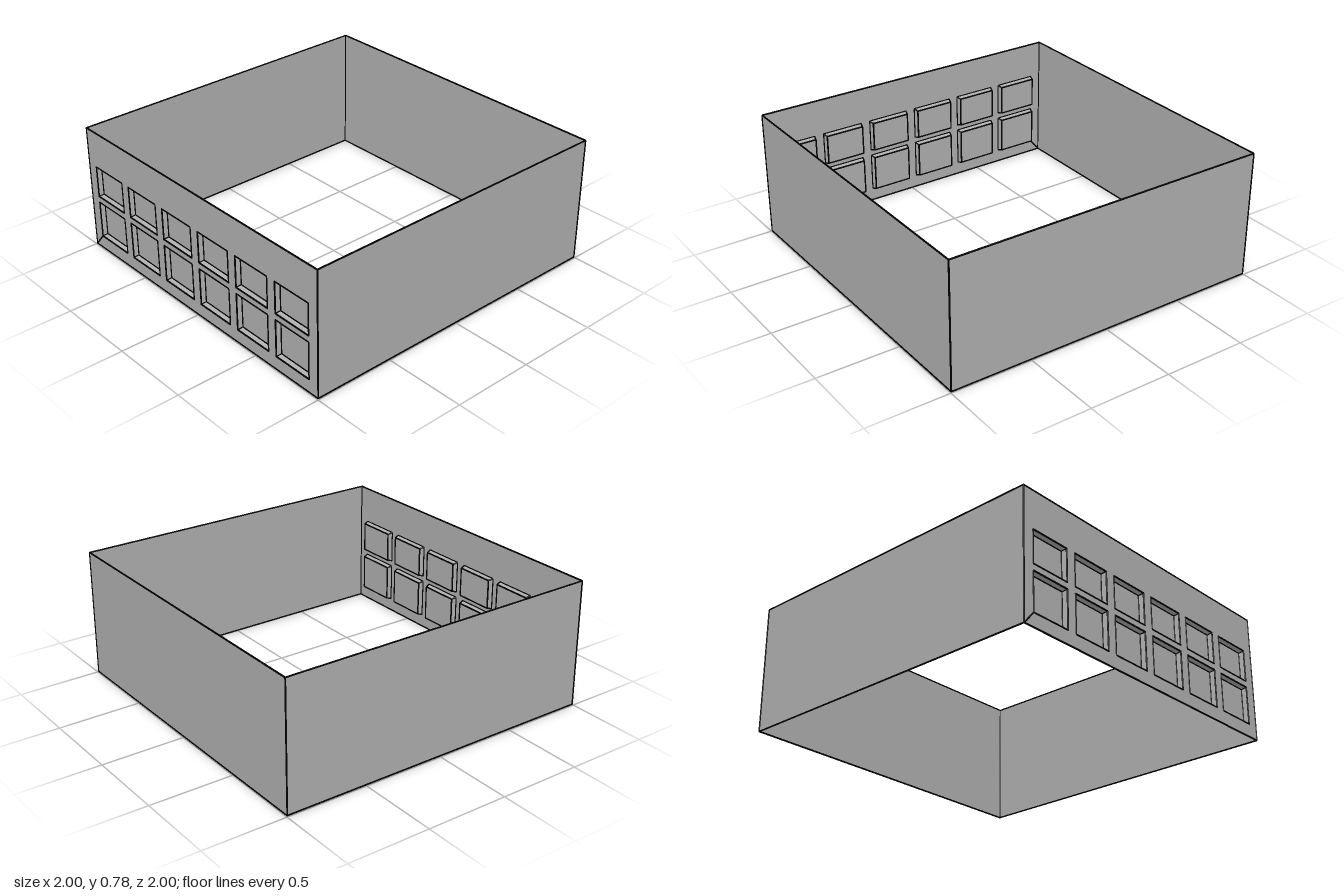
import * as THREE from 'three';

const EDGE = 0.005;         // radius of the dark edge lines
const SIDE = 1 - EDGE;      // distance of each wall from the centre
const BOTTOM = EDGE;
const TOP = 0.773;
const DEPTH = 0.03;         // how far the windows sink into the front wall
const TAPER = 0.008;        // inward slope of the window reveals
const COLUMNS = [-0.798, -0.479, -0.16, 0.16, 0.479, 0.798];
const ROWS = [[0.085, 0.315], [0.353, 0.548]];
const HALF_WIDTH = 0.129;

const wallMaterial = new THREE.MeshStandardMaterial({
  color: 0xaeaeae, flatShading: true, side: THREE.DoubleSide,
});
const edgeMaterial = new THREE.MeshStandardMaterial({ color: 0x000000 });

// Corners of a rectangle, counter-clockwise from the front
const corners = (x0, x1, y0, y1, z) =>
  [[x0, y0], [x1, y0], [x1, y1], [x0, y1]].map(([x, y]) => new THREE.Vector3(x, y, z));

// Shallow tray: four sloping reveals and a flat pane at the back
function recessGeometry(outer, inner) {
  const index = [4, 5, 6, 4, 6, 7];
  for (let i = 0; i < 4; i++) {
    const j = (i + 1) % 4;
    index.push(i, j, j + 4, i, j + 4, i + 4);
  }
  const geometry = new THREE.BufferGeometry().setFromPoints([...outer, ...inner]);
  geometry.setIndex(index);
  const flat = geometry.toNonIndexed();
  flat.computeVertexNormals();
  return flat;
}

// Thin dark rod from a to b
function addEdge(group, a, b) {
  const direction = b.clone().sub(a);
  const rod = new THREE.Mesh(
    new THREE.CylinderGeometry(EDGE, EDGE, direction.length(), 6), edgeMaterial);
  rod.name = 'edge';
  rod.position.copy(a).add(b).multiplyScalar(0.5);
  rod.quaternion.setFromUnitVectors(new THREE.Vector3(0, 1, 0), direction.normalize());
  group.add(rod);
}

// Both rectangles of a frustum and the four edges that join them
function addFrame(group, a, b) {
  for (let i = 0; i < 4; i++) {
    const j = (i + 1) % 4;
    addEdge(group, a[i], a[j]);
    addEdge(group, b[i], b[j]);
    addEdge(group, a[i], b[i]);
  }
}

export function createModel() {
  const model = new THREE.Group();
  model.name = 'buildingStorey';
  const edges = new THREE.Group();
  edges.name = 'edgeLines';
  model.add(edges);

  const add = (geometry, name) => {
    const mesh = new THREE.Mesh(geometry, wallMaterial);
    mesh.name = name;
    model.add(mesh);
    return mesh;
  };

  // Plain walls, thin and open above and below
  [['leftWall', Math.PI / 2], ['backWall', Math.PI], ['rightWall', -Math.PI / 2]]
    .forEach(([name, angle]) => {
      const plane = new THREE.PlaneGeometry(2 * SIDE, TOP - BOTTOM);
      add(plane.translate(0, (TOP + BOTTOM) / 2, SIDE), name).rotation.y = angle;
    });

  // Outline of the whole block
  const frontCorners = corners(-SIDE, SIDE, BOTTOM, TOP, SIDE);
  addFrame(edges, frontCorners, corners(-SIDE, SIDE, BOTTOM, TOP, -SIDE));

  // Front wall with a grid of window openings, each closed by a recess
  const front = new THREE.Shape(frontCorners);
  ROWS.forEach(([y0, y1], row) => COLUMNS.forEach((x, column) => {
    const x0 = x - HALF_WIDTH, x1 = x + HALF_WIDTH;
    const outer = corners(x0, x1, y0, y1, SIDE);
    const inner = corners(x0 + TAPER, x1 - TAPER, y0 + TAPER, y1 - TAPER, SIDE - DEPTH);
    front.holes.push(new THREE.Path([...outer].reverse()));
    add(recessGeometry(outer, inner), `window_${row + 1}_${column + 1}`);
    addFrame(edges, outer, inner);
  }));
  add(new THREE.ShapeGeometry(front).translate(0, 0, SIDE), 'frontWall');

  // Diagonal line from the lower corner to the nearest window
  addEdge(edges, frontCorners[0],
    new THREE.Vector3(COLUMNS[0] - HALF_WIDTH, ROWS[0][0], SIDE));

  return model;
}
